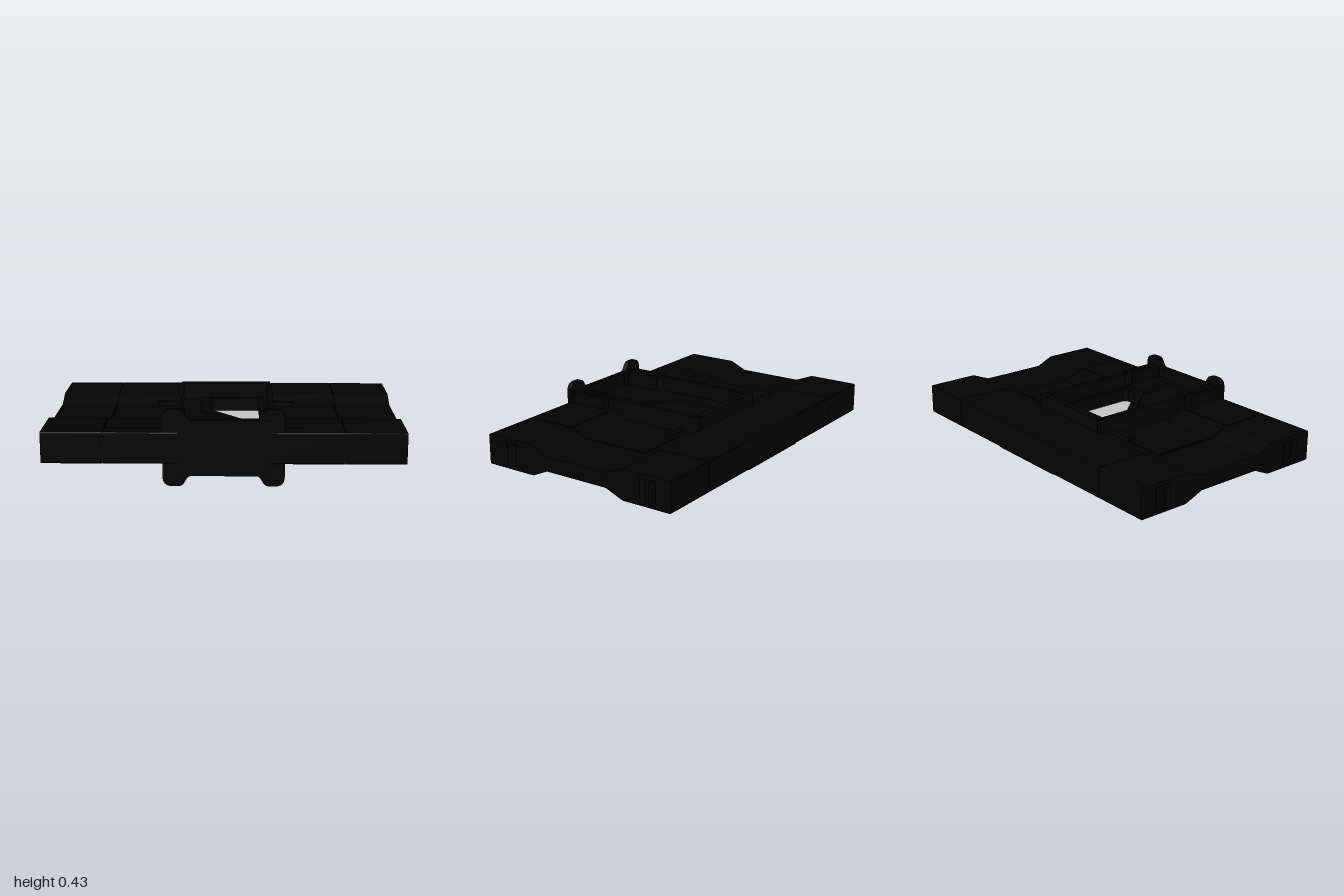
import * as THREE from 'three';

const MID = 0.215; // everything mirrors about this height
const black = new THREE.MeshStandardMaterial({ color: 0x020202 });
black.name = 'black hull';
const grey = new THREE.MeshStandardMaterial({ color: 0xc8c8c8, side: THREE.DoubleSide });
grey.name = 'pale grey window';

export function createModel() {
  const group = new THREE.Group();

  const add = (name, geometry, material = black) => {
    const mesh = new THREE.Mesh(geometry, material);
    mesh.name = name;
    group.add(mesh);
    return mesh;
  };
  const toPoints = (list) => list.map(([a, b]) => new THREE.Vector2(a, b));

  // Horizontal slab from an [x, z] outline, centred on MID; holes wind the other way
  const slab = (name, outline, half, hole, material) => {
    const flip = (list) => toPoints(list.map(([x, z]) => [x, -z]));
    const shape = new THREE.Shape(flip(outline));
    if (hole) shape.holes.push(new THREE.Path(flip(hole).reverse()));
    const g = new THREE.ExtrudeGeometry(shape, { depth: half * 2, bevelEnabled: false });
    g.rotateX(-Math.PI / 2);
    g.translate(0, MID - half, 0);
    return add(name, g, material);
  };
  const rect = (x0, x1, z0, z1) => [[x0, z0], [x1, z0], [x1, z1], [x0, z1]];

  // Wing section [z, half height]: thick front and back edges, thin middle
  const section = [[0.617, 0.082], [0.611, 0.088], [0.3, 0.088], [0.2, 0.043],
    [-0.2, 0.043], [-0.31, 0.088], [-0.611, 0.088], [-0.617, 0.082]];
  const wing = (name, x0, x1, shrink = 0) => {
    const s = section.map(([z, h]) => [z * (1 - shrink), h - shrink]);
    const loop = [...s.map(([z, h]) => [z, MID + h]),
      ...s.slice().reverse().map(([z, h]) => [z, MID - h])];
    const g = new THREE.ExtrudeGeometry(new THREE.Shape(toPoints(loop)),
      { depth: x1 - x0, bevelEnabled: false });
    g.rotateY(-Math.PI / 2);
    g.translate(x1, 0, 0);
    add(name, g);
  };

  // Rounded lug outline on the front corner
  const lugShape = new THREE.Shape();
  lugShape.moveTo(0.18, 0.058);
  lugShape.bezierCurveTo(0.215, 0.05, 0.205, 0, 0.25, 0);
  lugShape.lineTo(0.28, 0);
  lugShape.bezierCurveTo(0.315, 0, 0.333, 0.018, 0.333, 0.055);
  lugShape.lineTo(0.333, 0.375);
  lugShape.bezierCurveTo(0.333, 0.412, 0.315, 0.43, 0.28, 0.43);
  lugShape.lineTo(0.25, 0.43);
  lugShape.bezierCurveTo(0.205, 0.43, 0.215, 0.38, 0.18, 0.372);
  lugShape.closePath();

  for (const s of [-1, 1]) {
    const side = s > 0 ? 'left' : 'right';
    const span = (a, b) => [Math.min(s * a, s * b), Math.max(s * a, s * b)];
    wing(side + 'InnerWing', ...span(0.25, 0.658));
    wing(side + 'OuterWing', ...span(0.662, 0.995));
    wing(side + 'PanelGroove', ...span(0.65, 0.67), 0.004);

    // Raised panel in the thin part, front panel and latch
    slab(side + 'WingPanel', rect(...span(0.28, 0.655), -0.2, 0.2), 0.047);
    slab(side + 'FrontPanel', rect(...span(0.31, 0.655), 0.31, 0.52), 0.09);
    slab(side + 'Latch', rect(...span(0.27, 0.41), -0.2, -0.16), 0.07);

    // Small tabs on the wing tip
    for (const z of [-0.5, -0.44, 0.44, 0.5])
      slab(side + 'TipTab', rect(...span(0.99, 1), z - 0.02, z + 0.02), 0.065);

    // Block behind the lug, with a raised bar on top and below
    slab(side + 'FrameBlock', rect(...span(0.22, 0.31), 0.36, 0.585), 0.155);
    slab(side + 'FrameBar', rect(...span(0.25, 0.285), 0.39, 0.525), 0.163);

    const lug = new THREE.ExtrudeGeometry(lugShape, { depth: 0.03, bevelEnabled: false, curveSegments: 8 });
    if (s < 0) lug.rotateY(Math.PI).translate(0, 0, 0.03);
    lug.translate(0, 0, 0.582);
    add(side + 'Lug', lug);
  }

  // Thick bar joining both wings at the back
  slab('rearBar', rect(-0.26, 0.26, -0.617, -0.29), 0.088);

  // Raised frame wall around the well, narrowing towards the front
  slab('frameWall',
    [[-0.27, -0.31], [0.27, -0.31], [0.28, -0.3], [0.28, 0.34], [0.252, 0.37],
      [0.252, 0.617], [-0.252, 0.617], [-0.252, 0.37], [-0.28, 0.34], [-0.28, -0.3]],
    0.156,
    [[-0.25, -0.27], [0.25, -0.27], [0.25, 0.33], [0.22, 0.37],
      [0.22, 0.585], [-0.22, 0.585], [-0.22, 0.37], [-0.25, 0.33]]);
  slab('rearRim', rect(-0.27, 0.27, -0.312, -0.268), 0.163);

  // Well floor, window bezel and the pane
  const windowOutline = [[-0.08, -0.215], [0.19, -0.215], [0.2, -0.205], [0.2, 0.27],
    [0.18, 0.29], [0.12, 0.29], [0.1, 0.28], [-0.09, 0.055], [-0.09, -0.205]];
  const bezel = [[-0.14, -0.25], [0.23, -0.25], [0.23, 0.33], [0.08, 0.335], [-0.14, 0.075]];
  slab('wellFloor', rect(-0.26, 0.26, -0.3, 0.6), 0.07, windowOutline);
  slab('windowBezel', bezel, 0.08, windowOutline);
  slab('window', windowOutline, 0.004, null, grey);

  // Raised step in front of the window
  slab('frontStep', rect(0.08, 0.23, 0.335, 0.6), 0.095);

  return group;
}
